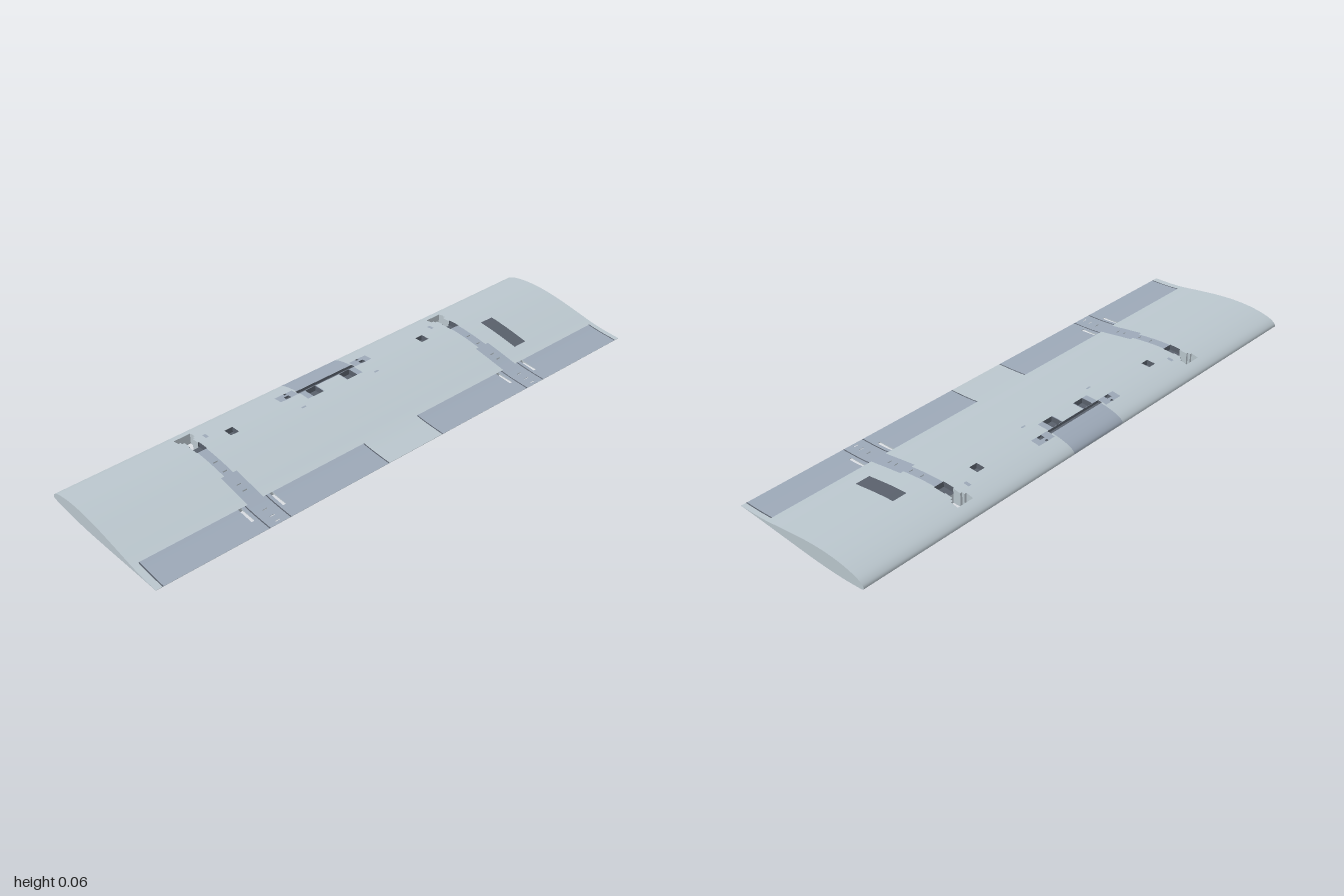
import * as THREE from 'three';

const HALF = 0.278; // half chord

// Section as one loop: upper trailing edge -> nose -> lower trailing edge.
// Heights are sampled evenly in u, where x = -HALF + 2 * HALF * u * u.
const heights = [
  0.017, 0.0222, 0.0365, 0.0487, 0.0555, 0.0563, 0.0525, 0.0455, 0.037, 0.0265,
  0.0165, 0.0095, 0.007, 0.0043, 0.0015, 0.0002, 0.0003, 0.003, 0.007, 0.0117, 0.016,
];
const section = new THREE.SplineCurve(heights.map((y, i) => new THREE.Vector2(i, y)));
const uOf = (x) => Math.sqrt(Math.max(0, (x + HALF) / (2 * HALF)));
const yAt = (side, u) => section.getPoint(THREE.MathUtils.clamp((1 - side * u) / 2, 0, 1)).y;
const skinY = (side, x) => yAt(side, uOf(x));
function skinNormal(side, x) {
  const u = uOf(x), e = 0.01;
  const dy = (yAt(side, u + e) - yAt(side, u - e)) / (Math.min(1, u + e) - (u - e));
  return new THREE.Vector3(-side * dy, side * 4 * HALF * u, 0).normalize();
}

export function createModel() {
  const group = new THREE.Group();
  group.name = 'wing';
  const material = (name, color) => {
    const m = new THREE.MeshStandardMaterial({ color, side: THREE.DoubleSide });
    m.name = name;
    return m;
  };
  const light = material('pale blue grey', 0xbac6cd);
  const panel = material('panel grey', 0x9ca8b7);
  const dark = material('dark grey', 0x59606b);
  const partMaterial = {
    wingSkin: light, endCaps: light, openingWalls: light, flaps: panel, hingeStrips: panel,
    accessPanels: panel, pockets: dark, gapLines: dark, vent: dark,
  };

  // Rectangles laid on each side; later ones cover earlier ones.
  const top = [], bottom = [];
  const add = (list, part, x0, x1, za, zb, depth = 0) =>
    list.push({ part, x0, x1, z0: Math.min(za, zb), z1: Math.max(za, zb), depth: () => depth });
  const centred = (list, part, x0, x1, z, w, depth) => add(list, part, x0, x1, z - w, z + w, depth);
  // Opening through both skins: each side sinks to the middle
  const opening = (x0, x1, z, w) => {
    for (const [list, side] of [[top, 1], [bottom, -1]]) {
      list.push({
        part: null, x0, x1, z0: z - w, z1: z + w,
        depth: (x) => side * (skinY(side, x) - skinY(-side, x)) / 2 * side,
      });
      const r = list[list.length - 1];
      r.depth = (x) => (skinY(1, x) - skinY(-1, x)) / 2;
    }
  };

  // Centre section
  add(top, 'accessPanels', -HALF, -0.12, -0.12, 0.12);
  add(top, 'wingSkin', -0.165, -0.12, -0.05, 0.05);
  add(top, 'pockets', -0.183, -0.166, -0.125, 0.125, 0.01);
  // Vent
  add(top, 'vent', -0.08, 0.09, -0.71, -0.655);

  for (const s of [-1, 1]) {
    const c = s < 0 ? -0.56 : 0.553; // hinge line station
    // Flaps, flush on top and stepped up underneath
    const inner = s < 0 ? -0.12 : 0.115, outer = s < 0 ? -0.98 : 0.975;
    add(top, 'flaps', 0.155, HALF, inner, outer);
    add(bottom, 'flaps', 0.155, HALF, inner, outer);
    bottom[bottom.length - 1].depth = (x) => 0.008 * (HALF - x) / 0.123;
    // Hinge strips
    for (const list of [top, bottom]) {
      centred(list, 'hingeStrips', -0.12, 0.02, c, 0.017);
      centred(list, 'hingeStrips', 0.02, list === top ? HALF : 0.155, c, 0.03);
    }
    for (const z of [c - 0.04, c + 0.04, outer, inner])
      centred(top, 'gapLines', 0.155, HALF, z, 0.002);
    // Linkage slots beside the strip and small slits along it
    for (const d of [-0.06, 0.06]) opening(0.155, 0.222, c + d, 0.006);
    for (const x of [-0.05, 0, 0.07, 0.1, 0.2, 0.235, 0.262]) opening(x, x + 0.004, c, 0.009);
    // Tapered opening at the front of the strip
    opening(-0.233, -0.205, c, 0.032);
    opening(-0.205, -0.195, c, 0.024);
    opening(-0.195, -0.165, c, 0.016);
    centred(top, 'pockets', -0.165, -0.12, c, 0.02, 0.02);
    // Pockets and small fittings on top
    centred(top, 'pockets', -0.16, -0.125, s * 0.42, 0.016, 0.02);
    centred(top, 'pockets', -0.165, -0.12, s * 0.075, 0.022, 0.02);
    add(top, 'accessPanels', -0.2, -0.165, s * 0.127, s * 0.2);
    centred(top, 'pockets', -0.182, -0.166, s * 0.165, 0.01, 0.008);
    centred(top, 'pockets', -0.2, -0.192, s * 0.16, 0.005, 0.004);
    centred(top, 'accessPanels', -0.097, -0.09, s * 0.16, 0.009);
    centred(top, 'accessPanels', -0.19, -0.168, s * 0.497, 0.006);
    // Pockets underneath
    centred(bottom, 'pockets', 0.02, 0.07, s * 0.47, 0.027, 0.014);
    centred(bottom, 'pockets', -0.15, -0.125, s * 0.418, 0.014, 0.01);
    centred(bottom, 'pockets', -0.19, -0.17, s * 0.2, 0.012, 0.008);
  }
  centred(bottom, 'pockets', 0.035, 0.06, 0.11, 0.01, 0.008);

  // Cell lines from the section and every rectangle edge
  const tidy = (a) => a.sort((p, q) => p - q).filter((v, i) => i === 0 || v - a[i - 1] > 1e-4);
  const all = [...top, ...bottom];
  const xs = tidy([...Array.from({ length: 41 }, (_, i) => -HALF + 2 * HALF * (i / 40) ** 2),
    ...all.flatMap((r) => [r.x0, r.x1])]);
  const zs = tidy([-1, 1, ...all.flatMap((r) => [r.z0, r.z1])]);

  const buckets = {};
  function quad(part, pts, normals) {
    const b = (buckets[part] ??= { position: [], normal: [] });
    const v = pts.map((p) => new THREE.Vector3(...p));
    const flat = new THREE.Vector3().subVectors(v[2], v[0])
      .cross(new THREE.Vector3().subVectors(v[3], v[1])).normalize();
    for (const i of [0, 1, 2, 0, 2, 3]) {
      b.position.push(...pts[i]);
      b.normal.push(...(normals ? normals[i] : flat).toArray());
    }
  }

  const plain = { part: 'wingSkin', depth: () => 0 };
  for (const [list, side] of [[top, 1], [bottom, -1]]) {
    const cell = (i, j) => {
      if (i < 0 || j < 0 || i > xs.length - 2 || j > zs.length - 2) return plain;
      const x = (xs[i] + xs[i + 1]) / 2, z = (zs[j] + zs[j + 1]) / 2;
      return list.findLast((r) => x > r.x0 && x < r.x1 && z > r.z0 && z < r.z1) ?? plain;
    };
    const y = (r, x) => skinY(side, x) - side * r.depth(x);
    // Step between two neighbouring cells of different depth
    const wall = (a, b, xa, za, xb, zb) => {
      const gap = Math.max(Math.abs(a.depth(xa) - b.depth(xa)), Math.abs(a.depth(xb) - b.depth(xb)));
      if (a === b || gap < 1e-5) return;
      const deep = a.depth(xa) + a.depth(xb) > b.depth(xa) + b.depth(xb) ? a : b;
      quad(deep.part === 'pockets' ? 'pockets' : 'openingWalls',
        [[xa, y(a, xa), za], [xb, y(a, xb), zb], [xb, y(b, xb), zb], [xa, y(b, xa), za]]);
    };
    for (let i = 0; i < xs.length - 1; i++) {
      const x0 = xs[i], x1 = xs[i + 1];
      const n0 = skinNormal(side, x0), n1 = skinNormal(side, x1);
      for (let j = 0; j < zs.length - 1; j++) {
        const r = cell(i, j), z0 = zs[j], z1 = zs[j + 1];
        if (r.part) {
          const p = [[x0, y(r, x0), z0], [x0, y(r, x0), z1], [x1, y(r, x1), z1], [x1, y(r, x1), z0]];
          const n = [n0, n0, n1, n1];
          quad(r.part, side > 0 ? p : p.reverse(), side > 0 ? n : n.reverse());
        }
        wall(r, cell(i + 1, j), x1, z0, x1, z1);
        wall(r, cell(i, j + 1), x0, z1, x1, z1);
      }
    }
  }

  // Flat tips and the thin trailing edge
  for (let i = 0; i < xs.length - 1; i++) {
    const [a, b] = [xs[i], xs[i + 1]];
    for (const z of [-1, 1]) {
      const p = [[a, skinY(-1, a), z], [b, skinY(-1, b), z], [b, skinY(1, b), z], [a, skinY(1, a), z]];
      quad('endCaps', z > 0 ? p : p.reverse());
    }
  }
  const [lo, hi] = [skinY(-1, HALF), skinY(1, HALF)];
  quad('endCaps', [[HALF, lo, 1], [HALF, lo, -1], [HALF, hi, -1], [HALF, hi, 1]]);

  for (const [name, b] of Object.entries(buckets)) {
    const g = new THREE.BufferGeometry();
    for (const key of ['position', 'normal'])
      g.setAttribute(key, new THREE.Float32BufferAttribute(b[key], 3));
    const mesh = new THREE.Mesh(g, partMaterial[name]);
    mesh.name = name;
    group.add(mesh);
  }
  return group;
}
